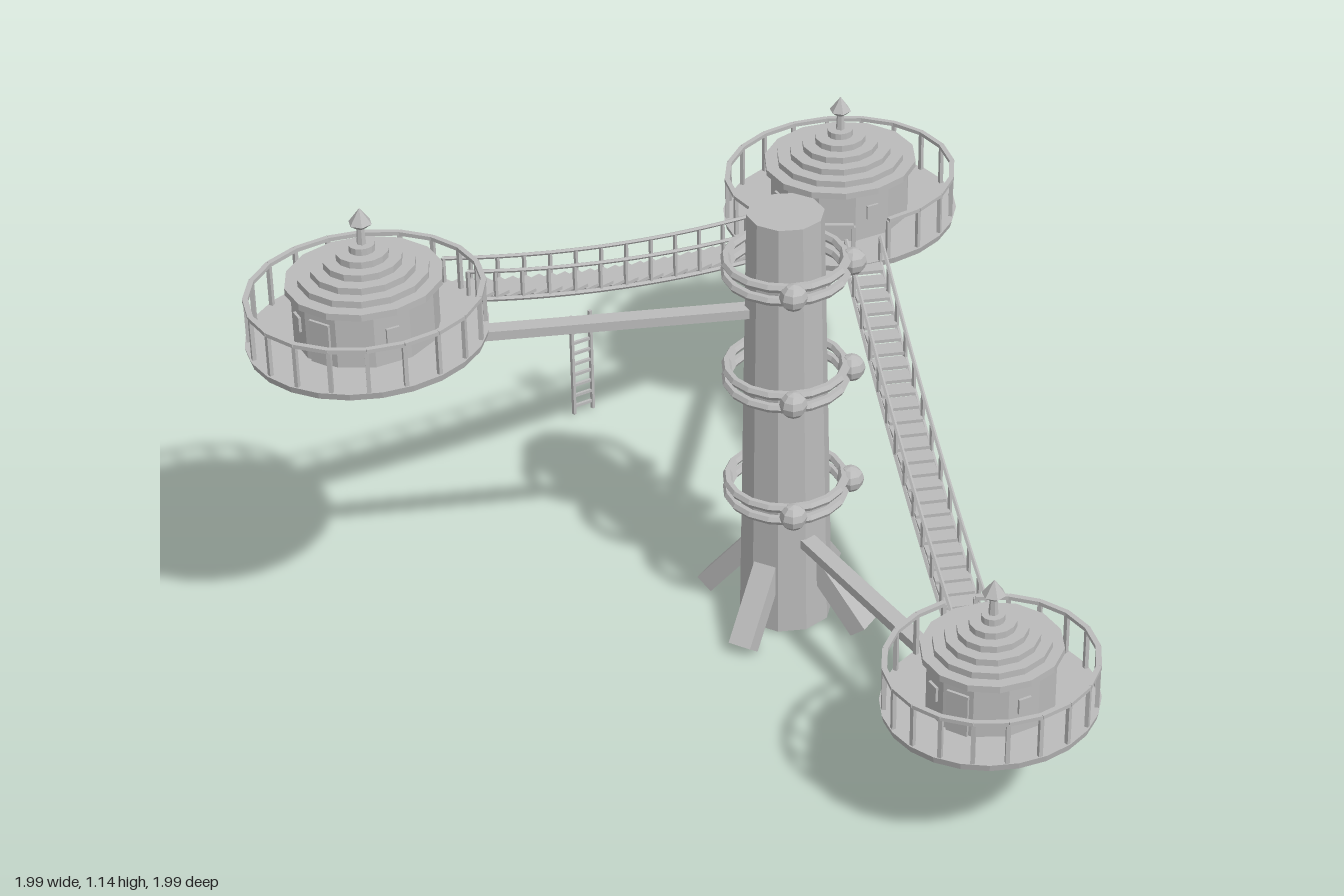
import * as THREE from 'three';

const grey = new THREE.MeshStandardMaterial({ color: 0xbbbbbb, flatShading: true });
grey.name = 'plain grey';
const V = (x, y, z) => new THREE.Vector3(x, y, z);

function add(parent, name, geometry, x = 0, y = 0, z = 0) {
  const mesh = new THREE.Mesh(geometry, grey);
  mesh.name = name;
  mesh.position.set(x, y, z);
  parent.add(mesh);
  return mesh;
}

// box running from a to b, w wide and h high
function beam(parent, name, a, b, w, h) {
  const mid = a.clone().lerp(b, 0.5);
  const mesh = add(parent, name, new THREE.BoxGeometry(w, h, a.distanceTo(b)), mid.x, mid.y, mid.z);
  mesh.lookAt(b);
  return mesh;
}

function group(parent, name) {
  const g = new THREE.Group();
  g.name = name;
  parent.add(g);
  return g;
}

const TX = -0.047, TZ = -0.03; // trunk axis
const STRETCH = 1.07; // platforms are slightly longer in z

// round platform with hut, stepped roof, finial and railing
function platform(root, name, x, y, z, r, gaps) {
  const g = group(root, name);
  const round = (part, geo, py) => add(g, part, geo, x, py, z).scale.set(1, 1, STRETCH);
  round('deck', new THREE.CylinderGeometry(r, r * 0.985, 0.016, 24), y + 0.008);
  const wall = r * 0.6;
  round('hutWall', new THREE.CylinderGeometry(wall, wall, 0.125, 12), y + 0.0785);

  // stepped roof profile
  const profile = [];
  const tiers = 6, step = 0.0155;
  profile.push(new THREE.Vector2(0, y + 0.138));
  for (let i = 0; i < tiers; i++) {
    const tr = r * 0.65 * (1 - i / tiers);
    profile.push(new THREE.Vector2(tr, y + 0.138 + i * step));
    profile.push(new THREE.Vector2(tr, y + 0.138 + (i + 1) * step));
  }
  profile.push(new THREE.Vector2(0, y + 0.138 + tiers * step));
  round('steppedRoof', new THREE.LatheGeometry(profile, 14), 0);

  // finial
  add(g, 'finialStem', new THREE.CylinderGeometry(0.008, 0.011, 0.045, 6), x, y + 0.25, z);
  add(g, 'finialBase', new THREE.CylinderGeometry(0.026, 0.011, 0.012, 6), x, y + 0.274, z);
  add(g, 'finialTip', new THREE.ConeGeometry(0.026, 0.035, 6), x, y + 0.2975, z);

  // door and windows on the flat facets
  for (let i = 0; i < 12; i++) {
    const a = (i + 0.5) * Math.PI / 6;
    const d = wall * Math.cos(Math.PI / 12) + 0.002;
    const front = i === 0;
    if (!front && i % 3 !== 2) continue;
    const panel = add(g, front ? 'door' : 'window',
      new THREE.BoxGeometry(front ? 0.05 : 0.03, front ? 0.1 : 0.035, 0.008),
      x + Math.sin(a) * d, y + (front ? 0.066 : 0.085), z + Math.cos(a) * d * STRETCH);
    panel.rotation.y = a;
  }

  // railing, open where bridges arrive
  const n = 20, rr = r * 0.965;
  const at = (a, h) => V(x + Math.cos(a) * rr, y + h, z + Math.sin(a) * rr * STRETCH);
  for (let i = 0; i < n; i++) {
    const a = i * 2 * Math.PI / n, b = (i + 1) * 2 * Math.PI / n;
    const p = at(a, 0.064);
    add(g, 'railPost', new THREE.BoxGeometry(0.009, 0.1, 0.009), p.x, p.y, p.z).rotation.y = -a;
    const open = gaps.some(t => Math.cos((a + b) / 2 - t) > Math.cos(Math.PI / n));
    if (!open) beam(g, 'handRail', at(a, 0.116), at(b, 0.116), 0.012, 0.009);
  }
}

// sagging stair bridge with posts and hand ropes
function bridge(root, name, from, to, count, sag) {
  const g = group(root, name);
  const flat = V(to.x - from.x, 0, to.z - from.z).normalize();
  const side = V(-flat.z, 0, flat.x);
  const point = (t, off = 0, lift = 0) => {
    const p = from.clone().lerp(to, t).addScaledVector(side, off);
    p.y += lift - sag * 4 * t * (1 - t);
    return p;
  };
  const run = Math.hypot(to.x - from.x, to.z - from.z) / count;
  for (let i = 0; i < count; i++) {
    const p = point((i + 0.5) / count);
    const tread = add(g, 'tread', new THREE.BoxGeometry(0.078, 0.008, run * 1.12), p.x, p.y, p.z);
    tread.rotation.y = Math.atan2(flat.x, flat.z);
  }
  for (const s of [-0.041, 0.041]) {
    for (const [part, lift, rad] of [['stringer', -0.008, 0.006], ['handRope', 0.062, 0.005]]) {
      const pts = [];
      for (let i = 0; i <= 8; i++) pts.push(point(i / 8, s, lift));
      add(g, part, new THREE.TubeGeometry(new THREE.CatmullRomCurve3(pts), 20, rad, 5));
    }
    for (let i = 0; i <= 12; i++) {
      beam(g, 'bridgePost', point(i / 12, s, -0.008), point(i / 12, s, 0.062), 0.007, 0.007);
    }
  }
}

export function createModel() {
  const root = new THREE.Group();
  root.name = 'treeHouseVillage';

  // trunk
  add(root, 'trunk', new THREE.CylinderGeometry(0.085, 0.106, 1.03, 10), TX, 0.53, TZ);

  // four slanted root braces
  for (let i = 0; i < 4; i++) {
    const a = 1.27 + i * Math.PI / 2;
    const c = Math.cos(a), s = Math.sin(a);
    beam(root, 'rootBrace', V(TX + c * 0.07, 0.185, TZ + s * 0.07),
      V(TX + c * 0.2, 0.023, TZ + s * 0.2), 0.055, 0.045);
  }

  // paired rope rings with knots
  for (const y of [0.352, 0.645, 0.915]) {
    const g = group(root, 'ropeBand');
    for (const dy of [-0.016, 0.016]) {
      const ring = add(g, 'ropeRing', new THREE.TorusGeometry(0.131, 0.011, 6, 18), TX, y + dy, TZ);
      ring.rotation.x = Math.PI / 2;
    }
    for (const [dx, dz] of [[0.112, 0.085], [0.09, -0.115]]) {
      add(g, 'ropeKnot', new THREE.SphereGeometry(0.031, 8, 6), TX + dx, y, TZ + dz);
    }
  }

  // platforms: upper, middle, lower
  platform(root, 'upperPlatform', -0.548, 0.832, 0.725, 0.25, [-Math.PI / 2]);
  platform(root, 'middlePlatform', -0.567, 0.565, -0.713, 0.27, [Math.PI / 2, 0.57]);
  platform(root, 'lowerPlatform', 0.767, 0.272, 0.163, 0.225, [Math.PI + 0.57]);

  // support beams from the trunk
  const supports = [[-0.548, 0.819, 0.725, 0.808], [-0.567, 0.553, -0.713, 0.535], [0.767, 0.26, 0.163, 0.245]];
  for (const [x, y, z, ty] of supports) {
    beam(root, 'supportBeam', V(TX, ty, TZ), V(x, y, z), 0.038, 0.022);
  }

  // stair bridges
  bridge(root, 'upperBridge', V(-0.553, 0.845, 0.475), V(-0.564, 0.585, -0.44), 24, 0.025);
  bridge(root, 'lowerBridge', V(-0.345, 0.582, -0.57), V(0.585, 0.292, 0.035), 28, 0.03);

  // free-standing ladder
  const ladder = group(root, 'ladder');
  const feet = [[-0.996, -0.22], [-0.986, -0.272]];
  for (const [x, z] of feet) add(ladder, 'ladderRail', new THREE.BoxGeometry(0.008, 0.28, 0.008), x, 0.158, z);
  for (let i = 0; i < 9; i++) {
    const y = 0.04 + i * 0.03;
    beam(ladder, 'rung', V(feet[0][0], y, feet[0][1]), V(feet[1][0], y, feet[1][1]), 0.007, 0.007);
  }
  return root;
}
